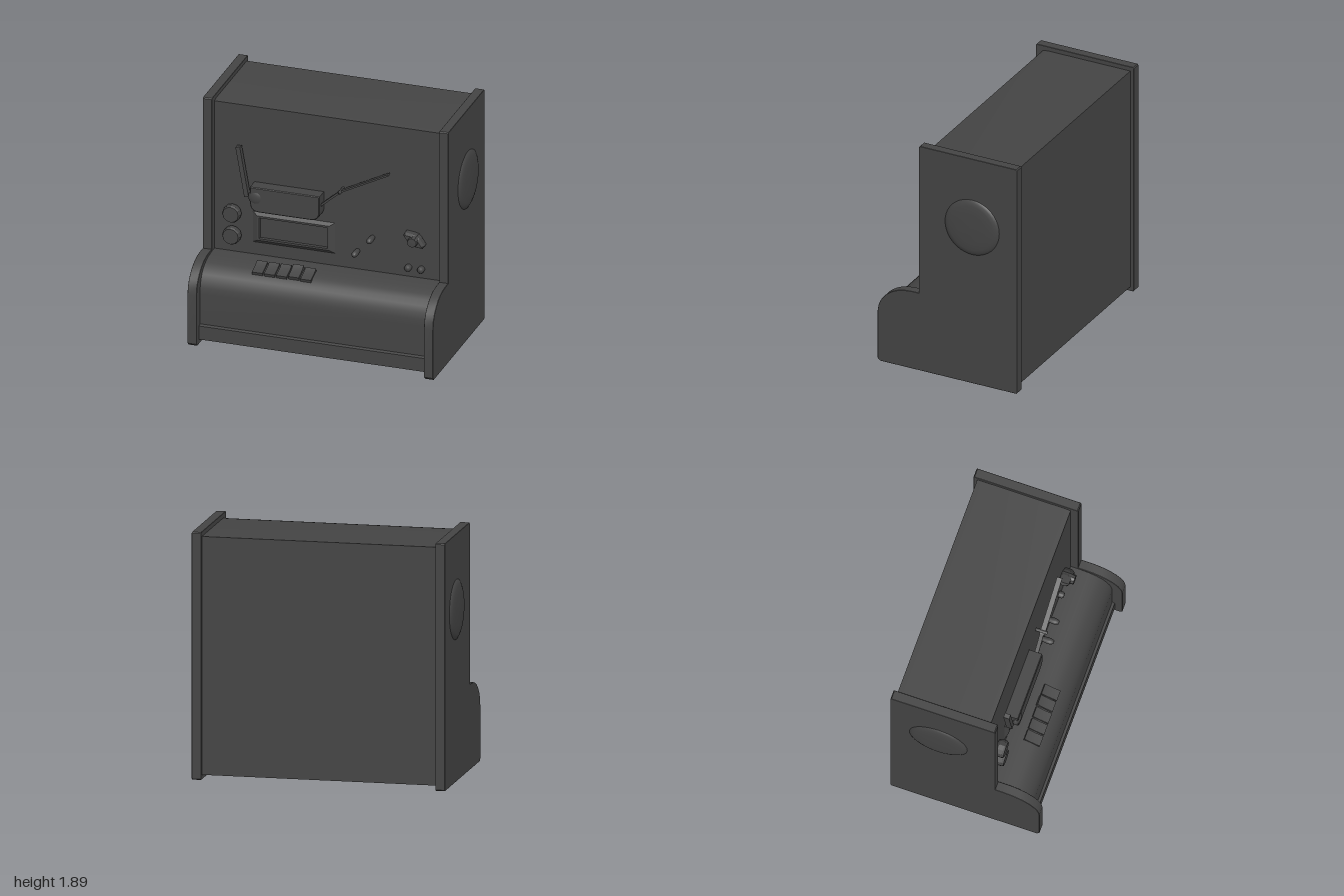
import * as THREE from 'three';
import { toCreasedNormals } from 'three/addons/utils/BufferGeometryUtils.js';

const FACE = 0.18; // z of the upright front panel

export function createModel() {
  const model = new THREE.Group();
  const mat = new THREE.MeshStandardMaterial({ color: 0x444444 });
  const flat = new THREE.MeshStandardMaterial({ color: 0x444444, flatShading: true });

  const add = (name, geo, x = 0, y = 0, z = 0, material = mat, parent = model) => {
    const mesh = new THREE.Mesh(geo, material);
    mesh.name = name;
    mesh.position.set(x, y, z);
    parent.add(mesh);
    return mesh;
  };

  // Extrudes a (z, y) outline along x, centred on x = 0
  const sideExtrude = (points, width, bevel = 0) => {
    const shape = new THREE.Shape(points.map(([z, y]) => new THREE.Vector2(z, y)));
    const geo = new THREE.ExtrudeGeometry(shape, {
      depth: width - 2 * bevel, bevelEnabled: bevel > 0, bevelSize: bevel,
      bevelThickness: bevel, bevelOffset: -bevel, bevelSegments: 1,
    });
    geo.translate(0, 0, -(width - 2 * bevel) / 2);
    geo.rotateY(-Math.PI / 2);
    return toCreasedNormals(geo, 0.5);
  };

  // Round part standing out from the front; profile is [radius, height]
  const frontLathe = (profile, sides) => {
    const geo = new THREE.LatheGeometry(profile.map(([r, h]) => new THREE.Vector2(r, h)), sides);
    geo.rotateX(Math.PI / 2);
    return geo;
  };

  // Flat bar between two points on the front
  const bar = (name, x1, y1, x2, y2, width, z, depth) => {
    const geo = new THREE.BoxGeometry(Math.hypot(x2 - x1, y2 - y1), width, depth);
    const mesh = add(name, geo, (x1 + x2) / 2, (y1 + y2) / 2, z);
    mesh.rotation.z = Math.atan2(y2 - y1, x2 - x1);
  };

  // Cabinet with rounded lower console
  add('cabinetBody', sideExtrude([
    [-0.56, 0.035], [0.51, 0.035], [0.51, 0.4], [0.506, 0.45], [0.492, 0.5], [0.467, 0.545],
    [0.43, 0.582], [0.385, 0.607], [0.33, 0.624], [0.25, 0.634], [FACE, 0.635],
    [FACE, 1.848], [0.14, 1.855], [-0.56, 1.855],
  ], 1.82));
  add('baseboard', sideExtrude([
    [0.4, 0.035], [0.53, 0.035], [0.53, 0.145], [0.51, 0.155], [0.4, 0.155],
  ], 1.81));

  // Side panels and their shallow domed discs
  const panelGeo = sideExtrude([
    [-0.59, 0.008], [-0.582, 0], [0.57, 0], [0.59, 0.02], [0.59, 0.42], [0.58, 0.48], [0.555, 0.53],
    [0.515, 0.575], [0.465, 0.61], [0.42, 0.63], [0.36, 0.645], [0.3, 0.65], [0.24, 0.65],
    [0.24, 1.882], [0.232, 1.89], [-0.582, 1.89], [-0.59, 1.882],
  ], 0.072, 0.002);
  const discGeo = new THREE.LatheGeometry(
    [[0.23, -0.005], [0.229, 0.004], [0.21, 0.014], [0.185, 0.022], [0.12, 0.028], [0, 0.03]]
      .map(([r, h]) => new THREE.Vector2(r, h)), 40);
  for (const s of [-1, 1]) {
    const side = s > 0 ? 'left' : 'right';
    add(side + 'SidePanel', panelGeo, s * 0.936);
    add(side + 'SideDisc', discGeo, s * 0.97, 1.315, -0.21).rotation.z = -s * Math.PI / 2;
  }

  // Reader box with rounded lower corners
  const box = new THREE.Shape();
  box.moveTo(-0.275, 0.1);
  box.lineTo(-0.275, -0.03);
  box.quadraticCurveTo(-0.275, -0.1, -0.2, -0.1);
  box.lineTo(0.2, -0.1);
  box.quadraticCurveTo(0.275, -0.1, 0.275, -0.03);
  box.lineTo(0.275, 0.1);
  const boxGeo = new THREE.ExtrudeGeometry(box, {
    depth: 0.1, bevelEnabled: true, bevelSize: 0.006, bevelOffset: -0.006,
    bevelThickness: 0.006, bevelSegments: 1, curveSegments: 6,
  });
  add('readerBox', toCreasedNormals(boxGeo, 0.5), -0.308, 1.13, FACE);
  const ball = add('readerBall', new THREE.SphereGeometry(0.063, 20, 14), -0.54, 1.145, 0.265);
  ball.scale.z = 0.48;

  // Thin arms reaching out of the reader box
  bar('uprightArm', -0.62, 1.13, -0.69, 1.53, 0.035, 0.235, 0.045);
  bar('lowerArm', -0.04, 1.14, 0.12, 1.28, 0.016, 0.232, 0.03);
  bar('upperArm', 0.1, 1.27, 0.5, 1.475, 0.014, 0.235, 0.04);
  add('armPivot', frontLathe([[0.013, 0], [0.013, 0.09], [0, 0.095]], 10), 0.12, 1.28, FACE);

  // Display frame: rectangular rings sloping up, then down into a recess
  const rings = [[0.325, 0.125, 0], [0.285, 0.1, 0.02], [0.27, 0.085, 0.02], [0.265, 0.08, 0.003]];
  const pos = [], index = [];
  rings.forEach(([w, h, z], i) => {
    pos.push(-w, -h, z, w, -h, z, w, h, z, -w, h, z);
    for (let k = 0; k < 4 && i > 0; k++) {
      const a = (i - 1) * 4 + k, b = (i - 1) * 4 + (k + 1) % 4;
      index.push(a, b, b + 4, a, b + 4, a + 4);
    }
  });
  index.push(12, 13, 14, 12, 14, 15);
  const frameGeo = new THREE.BufferGeometry();
  frameGeo.setAttribute('position', new THREE.Float32BufferAttribute(pos, 3));
  frameGeo.setIndex(index);
  frameGeo.computeVertexNormals();
  add('displayFrame', frameGeo, -0.27, 0.86, FACE, flat);

  // Faceted dials
  const dialGeo = frontLathe([[0.06, 0], [0.07, 0.015], [0.07, 0.055], [0.062, 0.069], [0, 0.069]], 12);
  for (const y of [0.96, 0.78]) add('dial', dialGeo, -0.75, y, FACE, flat);

  // Pegs and small round buttons
  const pegGeo = frontLathe([[0.018, 0], [0.025, 0.05], [0.024, 0.075], [0.014, 0.1], [0, 0.102]], 10);
  add('peg', pegGeo, 0.353, 0.913, FACE);
  add('peg', pegGeo, 0.235, 0.785, FACE);
  const buttonGeo = frontLathe([[0.026, 0], [0.026, 0.03], [0.018, 0.04], [0, 0.042]], 16);
  for (const x of [0.638, 0.74]) add('smallButton', buttonGeo, x, 0.71, FACE);

  // Turning handle with a pointed grip
  const handle = new THREE.Group();
  handle.name = 'turnHandle';
  handle.position.set(0.697, 0.96, FACE);
  handle.rotation.z = -0.55;
  model.add(handle);
  const grip = new THREE.Shape([[-0.09, -0.014], [-0.03, -0.042], [0.03, -0.042], [0.09, -0.014],
    [0.09, 0.014], [0.03, 0.042], [-0.03, 0.042], [-0.09, 0.014]].map(([x, y]) => new THREE.Vector2(x, y)));
  const gripGeo = new THREE.ExtrudeGeometry(grip, {
    depth: 0.045, bevelEnabled: true, bevelSize: 0.014, bevelOffset: -0.014, bevelThickness: 0.025, bevelSegments: 1,
  });
  add('handleGrip', gripGeo, 0, 0, 0.01, flat, handle);
  add('handleKnob', frontLathe([[0.045, 0], [0.045, 0.06], [0.036, 0.105], [0, 0.107]], 10), 0, 0, 0, flat, handle);

  // Row of console keys following the slope; the fourth is raised
  const keyGeo = sideExtrude([
    [-0.065, -0.03], [0.065, -0.03], [0.065, 0.01], [0.03, 0.007], [-0.03, 0.008], [-0.065, 0.015],
  ], 0.083);
  for (let i = 0; i < 5; i++) {
    const raised = i === 3;
    const key = add('consoleKey', keyGeo, -0.475 + i * 0.096, raised ? 0.627 : 0.617, 0.37);
    key.rotation.x = raised ? 0.38 : 0.32;
  }

  return model;
}
